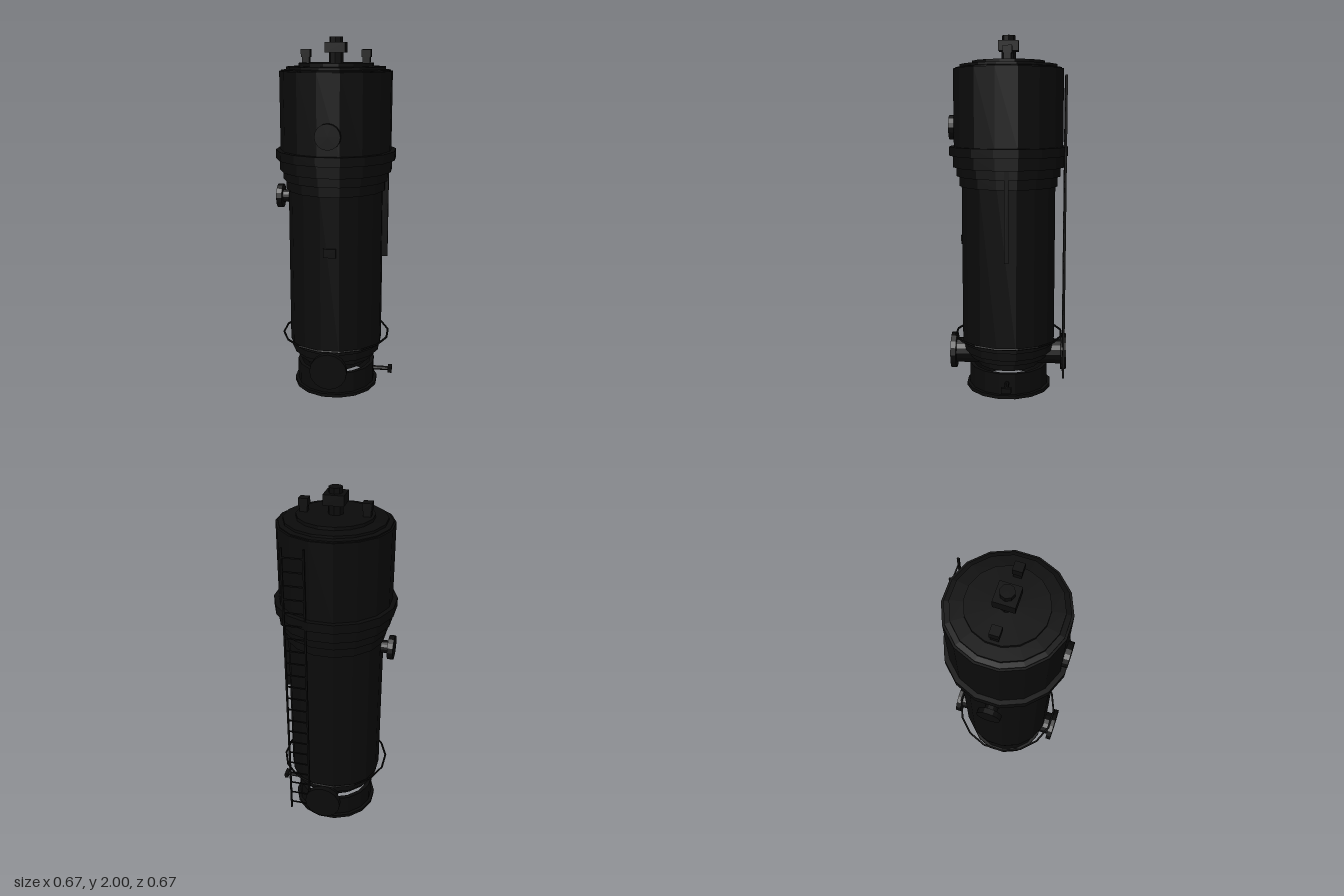
import * as THREE from 'three';

const SIDES = 16;
const HALF = Math.PI / SIDES;

export function createModel() {
  const group = new THREE.Group();
  const paint = new THREE.MeshStandardMaterial({ color: 0x0a0a0a });
  paint.name = 'blackPaint';

  // flat-shaded mesh added to a parent
  function add(name, geometry, x = 0, y = 0, z = 0, parent = group) {
    const g = geometry.index ? geometry.toNonIndexed() : geometry;
    g.computeVertexNormals();
    const mesh = new THREE.Mesh(g, paint);
    mesh.name = name;
    mesh.position.set(x, y, z);
    parent.add(mesh);
    return mesh;
  }

  // 16-sided turned part; widths are measured to the flats
  function turned(name, profile) {
    const pts = profile.map(([r, y]) => new THREE.Vector2(r / Math.cos(HALF), y));
    return add(name, new THREE.LatheGeometry(pts, SIDES, HALF));
  }

  const box = (name, w, h, d, x, y, z, parent) =>
    add(name, new THREE.BoxGeometry(w, h, d), x, y, z, parent);

  // hollow base ring with foot flange
  turned('baseRing', [[0.24, 0], [0.24, 0.02], [0.222, 0.02], [0.222, 0.14],
    [0.2, 0.14], [0.2, 0], [0.24, 0]]);

  // stepped tank, bottom to top
  turned('bottomHead', [[0, 0.14], [0.175, 0.14], [0.175, 0.19], [0.226, 0.19],
    [0.226, 0.225], [0.252, 0.225], [0.252, 0.27]]);
  turned('lowerShell', [[0.252, 0.27], [0.262, 0.27], [0.262, 1.175]]);
  turned('collar', [[0.262, 1.175], [0.275, 1.175], [0.275, 1.23], [0.29, 1.23],
    [0.29, 1.28], [0.308, 1.28], [0.308, 1.345]]);
  turned('mainFlange', [[0.3, 1.345], [0.3286, 1.345], [0.3286, 1.395], [0.3, 1.395]]);
  turned('upperShell', [[0.303, 1.39], [0.303, 1.82], [0.29, 1.82]]);
  turned('topHead', [[0.292, 1.82], [0.292, 1.826], [0.266, 1.83], [0.266, 1.843],
    [0.2, 1.845], [0.2, 1.862], [0, 1.862]]);

  // thin hoop around the foot of the shell
  const hoop = new THREE.TorusGeometry(0.308, 0.006, 6, SIDES);
  hoop.rotateZ(HALF);
  hoop.rotateX(Math.PI / 2);
  add('hoop', hoop, 0, 0.31, 0);

  // flanged nozzle pointing out along the angle turn (0 = front)
  function nozzle(name, turn, y, neckR, flangeR, start) {
    const g = new THREE.Group();
    g.name = name;
    const disc = (part, r, z0, z1) => {
      const c = new THREE.CylinderGeometry(r, r, z1 - z0, SIDES);
      c.rotateX(Math.PI / 2);
      add(part, c, 0, 0, (z0 + z1) / 2, g);
    };
    disc('neck', neckR, start, 0.31);
    disc('flange', flangeR, 0.302, 0.333);
    g.position.y = y;
    g.rotation.y = turn;
    group.add(g);
  }
  nozzle('frontOutlet', 0, 0.2, 0.072, 0.104, 0.16);
  nozzle('backOutlet', Math.PI, 0.2, 0.072, 0.104, 0.16);
  nozzle('upperFrontNozzle', 0, 1.5, 0.052, 0.068, 0.28);
  nozzle('sideNozzle', -Math.PI / 2, 1.12, 0.036, 0.068, 0.24);

  // vent valve on top
  add('ventStem', new THREE.CylinderGeometry(0.04, 0.04, 0.07, 8), 0, 1.89, 0);
  box('ventBody', 0.11, 0.055, 0.11, 0, 1.943, 0);
  add('ventCap', new THREE.CylinderGeometry(0.037, 0.037, 0.035, 8), 0, 1.9825, 0);

  // two small top fittings
  for (const s of [-1, 1]) {
    box('topFittingNeck', 0.04, 0.05, 0.04, s * 0.165, 1.875, 0);
    box('topFittingCap', 0.05, 0.04, 0.05, s * 0.165, 1.913, 0);
  }

  // level gauge on the left side, nameplate on the front
  box('levelGauge', 0.045, 0.495, 0.022, 0.273, 1.033, 0);
  box('nameplate', 0.07, 0.05, 0.016, 0, 0.865, 0.262);

  // drain pipe through the base ring
  const drain = new THREE.CylinderGeometry(0.013, 0.013, 0.13, 8);
  drain.rotateZ(Math.PI / 2);
  add('drainPipe', drain, 0.255, 0.085, 0);
  box('drainEnd', 0.022, 0.03, 0.056, 0.322, 0.085, 0);

  // ladder at the back
  const ladder = new THREE.Group();
  ladder.name = 'ladder';
  group.add(ladder);
  for (const x of [0.083, 0.196]) box('rail', 0.009, 1.67, 0.012, x, 0.945, -0.313, ladder);
  for (let i = 0; i < 22; i++) {
    box('rung', 0.113, 0.007, 0.006, 0.14, 0.155 + i * 0.075, -0.313, ladder);
  }

  return group;
}
